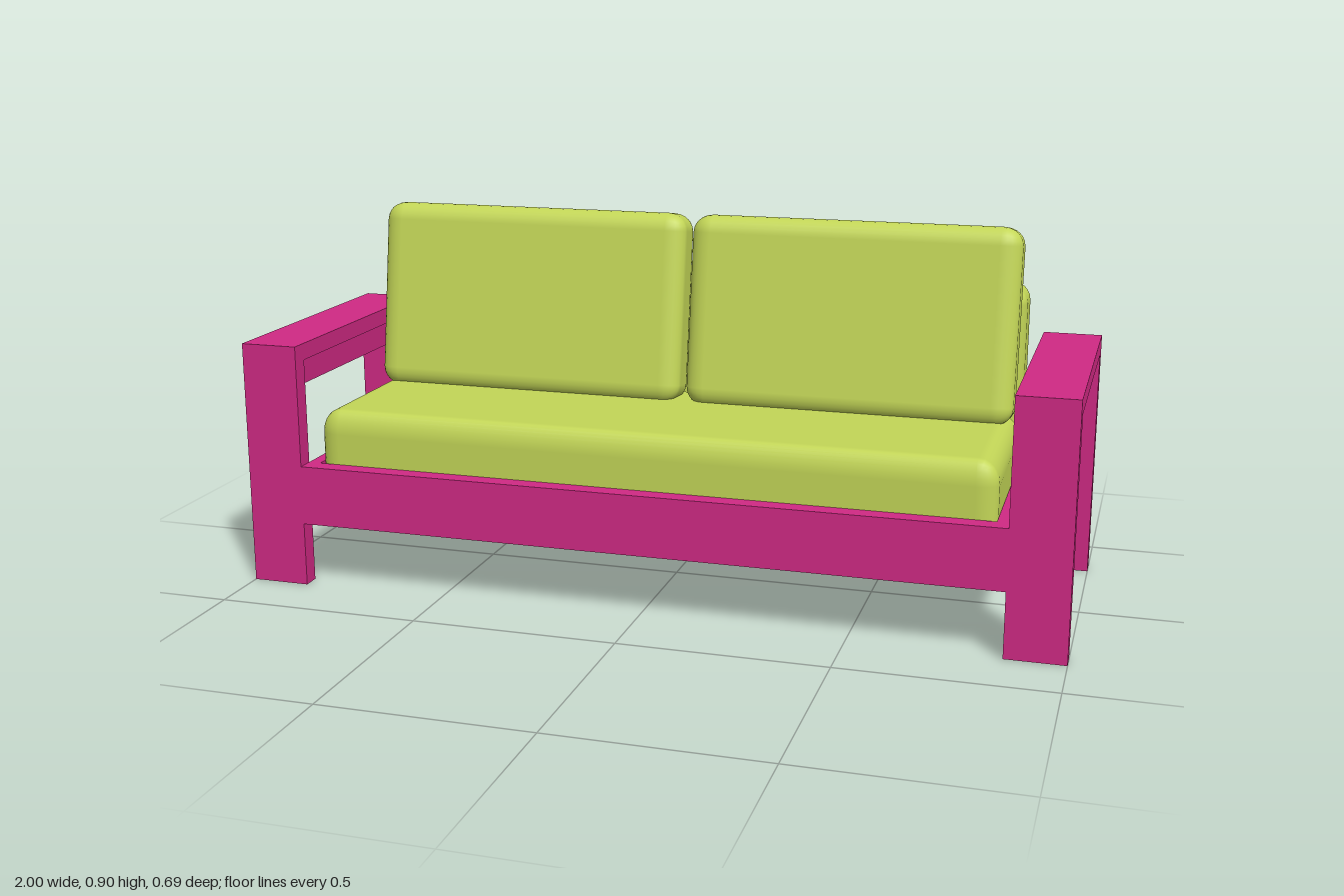
import * as THREE from 'three';
import { RoundedBoxGeometry } from 'three/addons/geometries/RoundedBoxGeometry.js';

const frameMaterial = new THREE.MeshStandardMaterial({ color: 0xd02a84 });
const cushionMaterial = new THREE.MeshStandardMaterial({ color: 0xc3d657 });

// Box given by its limits on each axis
function board(name, [x0, x1], [y0, y1], [z0, z1]) {
  const mesh = new THREE.Mesh(new THREE.BoxGeometry(x1 - x0, y1 - y0, z1 - z0), frameMaterial);
  mesh.position.set((x0 + x1) / 2, (y0 + y1) / 2, (z0 + z1) / 2);
  mesh.name = name;
  return mesh;
}

// Soft box with its own edge radius along each axis
function cushion(name, size, radii, position) {
  const [w, h, d] = size.map((s, i) => s / radii[i]);
  const geometry = new RoundedBoxGeometry(w, h, d, 3, 1);
  geometry.scale(...radii);
  const mesh = new THREE.Mesh(geometry, cushionMaterial);
  mesh.position.set(...position);
  mesh.name = name;
  return mesh;
}

// Limits mirrored to the negative side when s is -1
const mirror = (s, a, b) => (s > 0 ? [a, b] : [-b, -a]);

export function createModel() {
  const sofa = new THREE.Group();
  sofa.name = 'sofa';
  const railY = [0.158, 0.305];

  // Side frames: two legs, armrest, apron below it and lower rail
  for (const s of [1, -1]) {
    const side = new THREE.Group();
    side.name = s > 0 ? 'leftSideFrame' : 'rightSideFrame';
    const armX = mirror(s, 0.858, 1);
    side.add(
      board('frontLeg', armX, [0, 0.605], [0.302, 0.345]),
      board('backLeg', armX, [0, 0.605], [-0.345, -0.302]),
      board('armrest', armX, [0.564, 0.605], [-0.302, 0.302]),
      board('armApron', mirror(s, 0.9, 0.958), [0.486, 0.564], [-0.302, 0.302]),
      board('sideRail', mirror(s, 0.828, 0.858), railY, [-0.302, 0.302])
    );
    sofa.add(side);
  }

  // Long rails and the panel that carries the cushions
  sofa.add(
    board('frontRail', [-0.858, 0.858], railY, [0.302, 0.345]),
    board('backRail', [-0.858, 0.858], railY, [-0.345, -0.302]),
    board('seatPanel', [-0.828, 0.828], [0.158, 0.19], [-0.302, 0.302])
  );

  // Seat and back cushions
  sofa.add(
    cushion('seatCushion', [1.655, 0.25, 0.466], [0.05, 0.06, 0.032], [0, 0.315, 0.068]),
    cushion('backCushion', [1.655, 0.555, 0.133], [0.05, 0.045, 0.035], [0, 0.4675, -0.2355])
  );

  // Two loose pillows leaning back
  for (const s of [1, -1]) {
    const pillow = cushion(s > 0 ? 'leftPillow' : 'rightPillow',
      [0.81, 0.475, 0.12], [0.05, 0.045, 0.035], [s * 0.413, 0.659, -0.118]);
    pillow.rotation.x = -0.155;
    sofa.add(pillow);
  }
  return sofa;
}
